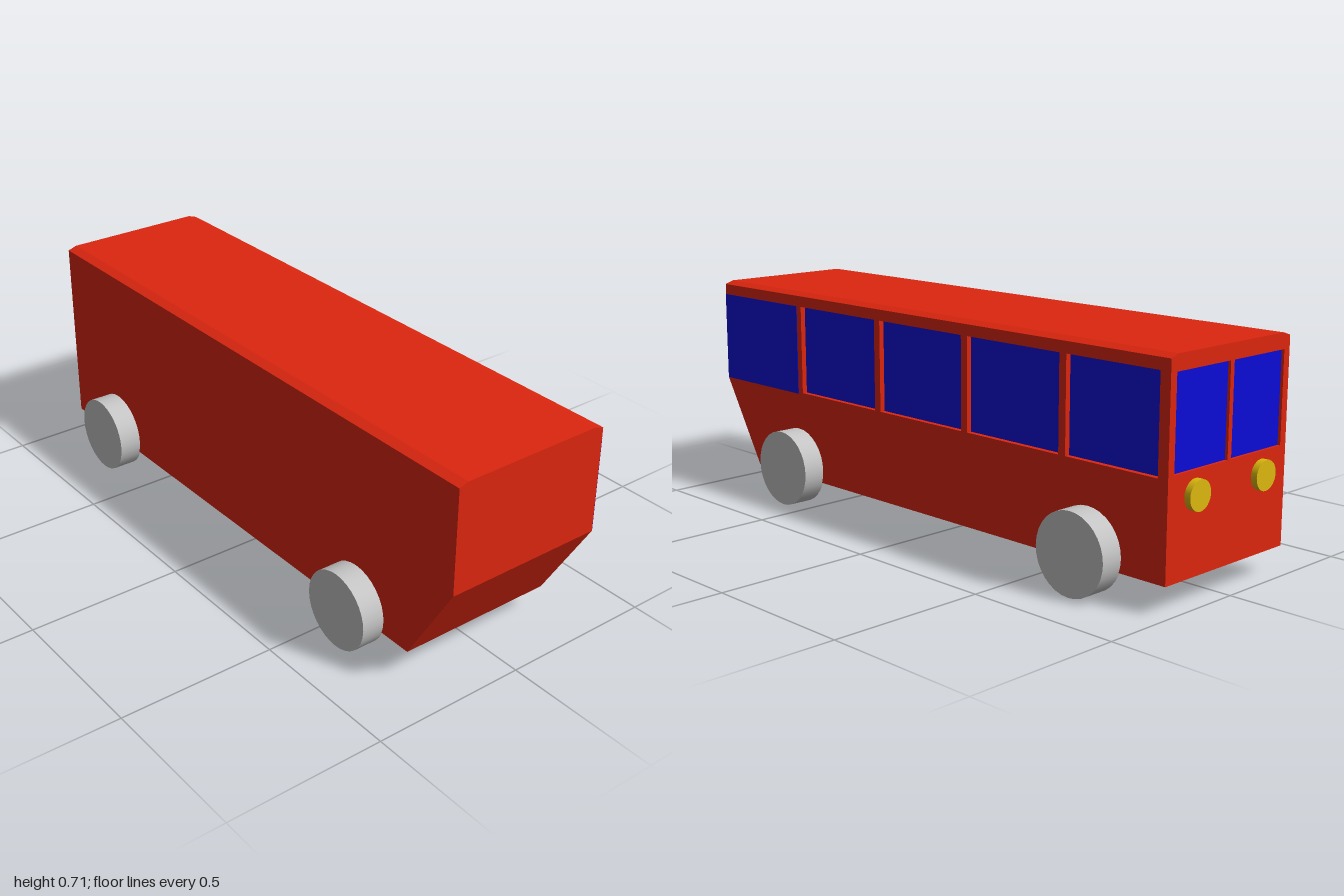
import * as THREE from 'three';

const X0 = -0.98, X1 = 1, Z = 0.263, Y0 = 0.083, Y1 = 0.70, SKIN = 0.02;

function material(name, color) {
  const m = new THREE.MeshStandardMaterial({ color });
  m.name = name;
  return m;
}

function polygon(points) {
  return new THREE.Shape(points.map(([x, y]) => new THREE.Vector2(x, y)));
}

function rect([a, b, c, d]) {
  return [[a, c], [b, c], [b, d], [a, d]];
}

function extrude(points, depth, holes = []) {
  const shape = polygon(points);
  holes.forEach(h => shape.holes.push(polygon(rect(h))));
  return new THREE.ExtrudeGeometry(shape, { depth, bevelEnabled: false });
}

// Side outline with the sloping underside at the +x end
const outline = x0 => [[x0, Y0], [0.83, Y0], [X1, 0.367], [X1, Y1], [x0, Y1]];

export function createModel() {
  const bus = new THREE.Group();
  bus.name = 'bus';
  const red = material('red paint', 0xdd260f);
  const blue = material('blue glass', 0x0c0cd8);
  const grey = material('grey wheel', 0xc4c4c4);
  const yellow = material('yellow lamp', 0xdcb80e);

  const add = (name, geometry, mat, x = 0, y = 0, z = 0) => {
    const mesh = new THREE.Mesh(geometry, mat);
    mesh.name = name;
    mesh.position.set(x, y, z);
    bus.add(mesh);
    return mesh;
  };

  // Solid core behind the window walls
  add('bodyCore', extrude(outline(X0 + SKIN), 2 * Z - SKIN), red, 0, 0, -Z + SKIN);

  // Wall with recessed side windows
  const sideWindows = [[0.18, 0.575], [-0.215, 0.18], [-0.61, -0.215], [-0.945, -0.61]]
    .map(([a, b], i) => [i < 3 ? a + 0.022 : a, i ? b - 0.004 : b, 0.375, 0.665]);
  add('sideWall', extrude(outline(X0), SKIN, sideWindows), red, 0, 0, -Z);
  sideWindows.forEach(([a, b, c, d]) => add('sideWindow',
    new THREE.BoxGeometry(b - a, d - c, 0.006), blue, (a + b) / 2, (c + d) / 2, -Z + SKIN));

  // Flush window reaching the sloping end
  add('endSideWindow', new THREE.BoxGeometry(0.402, 0.295, 0.004), blue, 0.798, 0.5175, -Z);

  // Windscreen wall with two recessed panes
  const panes = [[-0.238, -0.008, 0.385, 0.662], [0.008, 0.238, 0.385, 0.662]];
  const noseWall = extrude(rect([-Z + SKIN, Z, Y0, Y1]), SKIN, panes);
  noseWall.rotateY(-Math.PI / 2);
  add('noseWall', noseWall, red, X0 + SKIN);
  panes.forEach(([a, b, c, d]) => add('windscreenPane',
    new THREE.BoxGeometry(0.006, d - c, b - a), blue, X0 + SKIN - 0.008, (c + d) / 2, (a + b) / 2));

  // Roof with chamfered long edges
  const roof = extrude([[-Z, Y1], [Z, Y1], [0.233, 0.71], [-0.233, 0.71]], X1 - X0);
  roof.rotateY(-Math.PI / 2);
  add('roof', roof, red, X1);

  // Wheels and headlamps
  const wheel = new THREE.CylinderGeometry(0.125, 0.125, 0.077, 32).rotateX(Math.PI / 2);
  const lamp = new THREE.CylinderGeometry(0.045, 0.045, 0.02, 24).rotateZ(Math.PI / 2);
  for (const side of [-1, 1]) {
    for (const x of [-0.70, 0.60]) add('wheel', wheel, grey, x, 0.125, side * 0.2985);
    add('headlamp', lamp, yellow, X0 - 0.01, 0.317, side * 0.148);
  }
  return bus;
}
